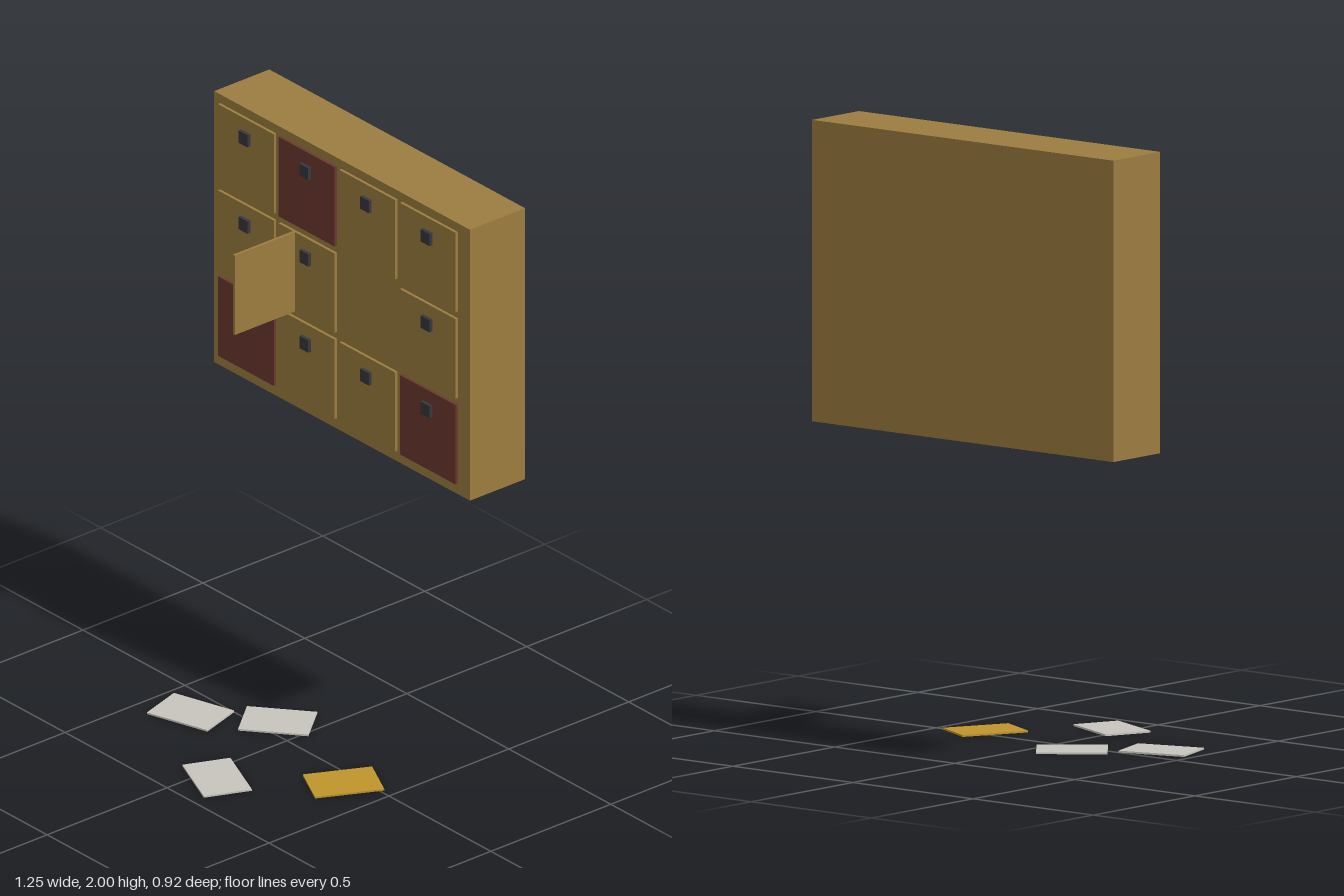
import * as THREE from 'three';

const mat = (name, color) => new THREE.MeshStandardMaterial({ name, color });

export function createModel() {
  const wood = mat('ochre wood', 0x9c7d40);
  const red = mat('dark red', 0x6b382d);
  const dark = mat('charcoal', 0x37383c);
  const paper = mat('pale paper', 0xc8c5bd);
  const gold = mat('gold paper', 0xbf942c);

  const model = new THREE.Group();
  model.name = 'lockerCabinet';

  const box = (name, material, size, position, turn = 0) => {
    const mesh = new THREE.Mesh(new THREE.BoxGeometry(...size), material);
    mesh.name = name;
    mesh.position.set(...position);
    mesh.rotation.y = turn;
    model.add(mesh);
  };

  // Solid wall cabinet
  box('cabinet', wood, [1.254, 0.97, 0.23], [0, 1.515, -0.345]);

  // Grid of closed doors with square locks; one opening has lost its door
  const columns = [-0.46, -0.162, 0.135, 0.432];
  const rows = [1.21, 1.518, 1.827];
  const redDoors = ['0,0', '3,0', '1,2'];
  rows.forEach((y, r) => columns.forEach((x, c) => {
    const key = `${c},${r}`;
    if (key === '2,1') return;
    box('door', redDoors.includes(key) ? red : wood, [0.274, 0.284, 0.01], [x, y, -0.225]);
    box('lock', dark, [0.044, 0.044, 0.012], [x, y + 0.075, -0.214]);
  }));

  // Door panel standing open at a right angle
  box('openDoor', wood, [0.01, 0.284, 0.262], [-0.224, 1.518, -0.1]);

  // Letters scattered on the floor: x, z, turn, material
  [
    [-0.343, 0.11, 0.3, paper],
    [-0.117, -0.061, 0.69, paper],
    [0.055, 0.338, -0.4, paper],
    [0.34, 0.053, 1.11, gold],
  ].forEach(([x, z, turn, material]) =>
    box('letter', material, [0.227, 0.006, 0.16], [x, 0.003, z], turn));

  return model;
}
